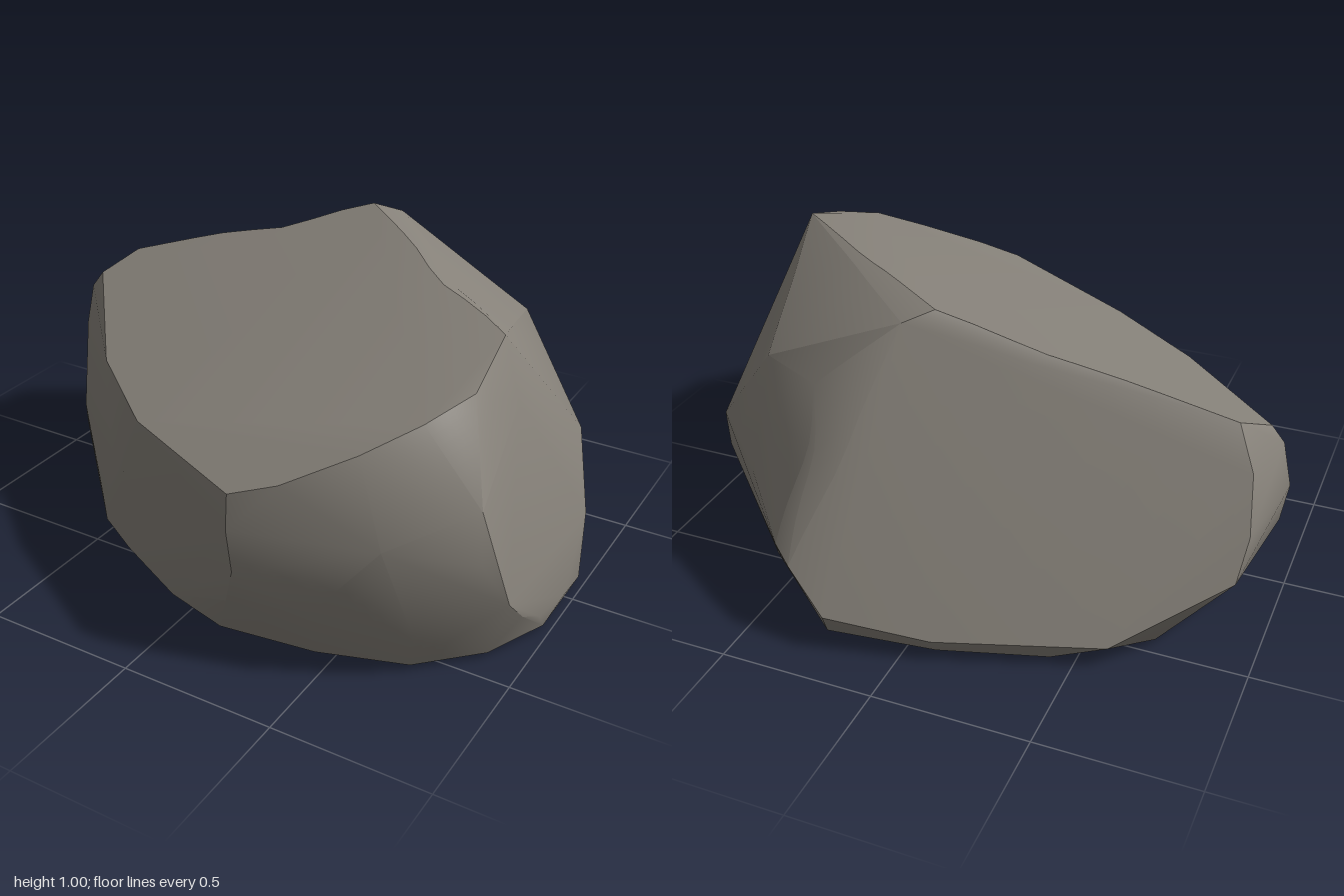
import * as THREE from 'three';
import { ConvexGeometry } from 'three/addons/geometries/ConvexGeometry.js';
import { toCreasedNormals } from 'three/addons/utils/BufferGeometryUtils.js';

// Height of the sloping flat top at a given x, z
const topY = (x, z) => 0.84 + 0.25 * x - 0.347 * z;

// Rim of the sloping top (x, z)
const topRim = [
  [-0.93, -0.14], [-0.86, -0.27], [-0.33, -0.375], [0.02, -0.45],
  [0.73, 0.58], [0.6, 0.7], [0.42, 0.82], [0.28, 0.86], [-0.22, 0.6], [-0.55, 0.33],
];

// Flat underside outline (x, z)
const baseRim = [
  [0.98, -0.1], [0.98, 0.2], [0.89, 0.41], [0.72, 0.58], [0.45, 0.67], [0.14, 0.71],
  [-0.08, 0.65], [-0.36, 0.51], [-0.53, 0.41], [-0.66, 0.27], [-0.77, 0.12],
  [-0.83, -0.13], [-0.7, -0.46], [-0.43, -0.66], [-0.1, -0.76], [0.25, -0.8], [0.6, -0.5],
];

// Flanks between the two rims (x, y, z)
const flanks = [
  // left flat flank and its rounded corner
  [0.79, 0.948, 0.2], [0.81, 0.87, 0.43], [0.865, 0.78, 0.25],
  [0.91, 0.6, 0.57], [0.92, 0.43, 0.57], [0.98, 0.28, 0.5], [0.985, 0.18, 0.4],
  [0.99, 0.1, 0.27], [0.99, 0.05, 0.06], [0.95, 0.2, -0.2], [0.86, 0.42, -0.34],
  // rounded front corner
  [0.28, 0.5, 0.87], [0.29, 0.36, 0.86], [0.24, 0.22, 0.82], [0.15, 0.12, 0.76],
  [0.44, 0.5, 0.82], [0.5, 0.25, 0.79], [0.7, 0.5, 0.75], [0.75, 0.22, 0.66],
  // front right flank and the narrow end
  [-0.8, 0.28, 0.16], [-0.9, 0.13, 0.04], [-0.97, 0.28, -0.06], [-1, 0.45, -0.12],
  [-0.97, 0.6, -0.13], [-0.92, 0.58, -0.31], [-0.94, 0.4, -0.37], [-0.92, 0.26, -0.42],
  // back flank
  [-0.6, 0.08, -0.63], [-0.1, 0.08, -0.8], [0.22, 0.13, -0.875], [0.34, 0.27, -0.85],
  [0.41, 0.3, -0.8], [0.58, 0.42, -0.63], [0.72, 0.45, -0.48],
  // shoulder behind the peak
  [0.1, 0.97, -0.51], [0.37, 0.75, -0.58], [0.6, 0.74, -0.45],
];

// Shallow worn hollows: centre, radius, depth
const hollows = [
  { at: new THREE.Vector3(0.48, 0.96, -0.06), radius: 0.25, depth: 0.03 },
  { at: new THREE.Vector3(0.36, 0.58, -0.69), radius: 0.22, depth: 0.04 },
  { at: new THREE.Vector3(-0.3, 0.9, -0.38), radius: 0.22, depth: 0.025 },
  { at: new THREE.Vector3(-0.5, 0.28, 0.4), radius: 0.22, depth: 0.02 },
];
const core = new THREE.Vector3(0, 0.4, 0);

// Split every triangle into four, for positions and normals alike
function splitTriangles(attribute) {
  const out = [];
  const corner = (i) => new THREE.Vector3().fromBufferAttribute(attribute, i);
  const mid = (p, q) => p.clone().add(q).multiplyScalar(0.5);
  for (let i = 0; i < attribute.count; i += 3) {
    const [a, b, c] = [corner(i), corner(i + 1), corner(i + 2)];
    const [ab, bc, ca] = [mid(a, b), mid(b, c), mid(c, a)];
    for (const v of [a, ab, ca, ab, b, bc, ca, bc, c, ab, bc, ca]) out.push(v.x, v.y, v.z);
  }
  return new THREE.Float32BufferAttribute(out, 3);
}

function wornGeometry(points) {
  // Smooth worn corners, crisp broken edges
  const geometry = toCreasedNormals(new ConvexGeometry(points), 0.55);
  for (let level = 0; level < 3; level++) {
    for (const name of ['position', 'normal']) {
      geometry.setAttribute(name, splitTriangles(geometry.getAttribute(name)));
    }
  }
  geometry.normalizeNormals();

  // Press the hollows in towards the core
  const position = geometry.getAttribute('position');
  const v = new THREE.Vector3();
  for (let i = 0; i < position.count; i++) {
    v.fromBufferAttribute(position, i);
    const push = hollows.reduce(
      (sum, h) => sum + h.depth * Math.exp(-2 * v.distanceToSquared(h.at) / h.radius ** 2), 0);
    v.add(core.clone().sub(v).setLength(push));
    position.setXYZ(i, v.x, v.y, v.z);
  }
  return geometry;
}

export function createModel() {
  const stone = new THREE.MeshStandardMaterial({ color: 0x87827a });
  stone.name = 'stone grey';

  const boulder = new THREE.Mesh(wornGeometry([
    ...topRim.map(([x, z]) => new THREE.Vector3(x, topY(x, z), z)),
    ...baseRim.map(([x, z]) => new THREE.Vector3(x, 0.02, z)),
    ...flanks.map((p) => new THREE.Vector3(...p)),
    new THREE.Vector3(0.08, 0, -0.7),
  ]), stone);
  boulder.name = 'boulder';

  const group = new THREE.Group();
  group.name = 'rock';
  group.add(boulder);
  return group;
}
